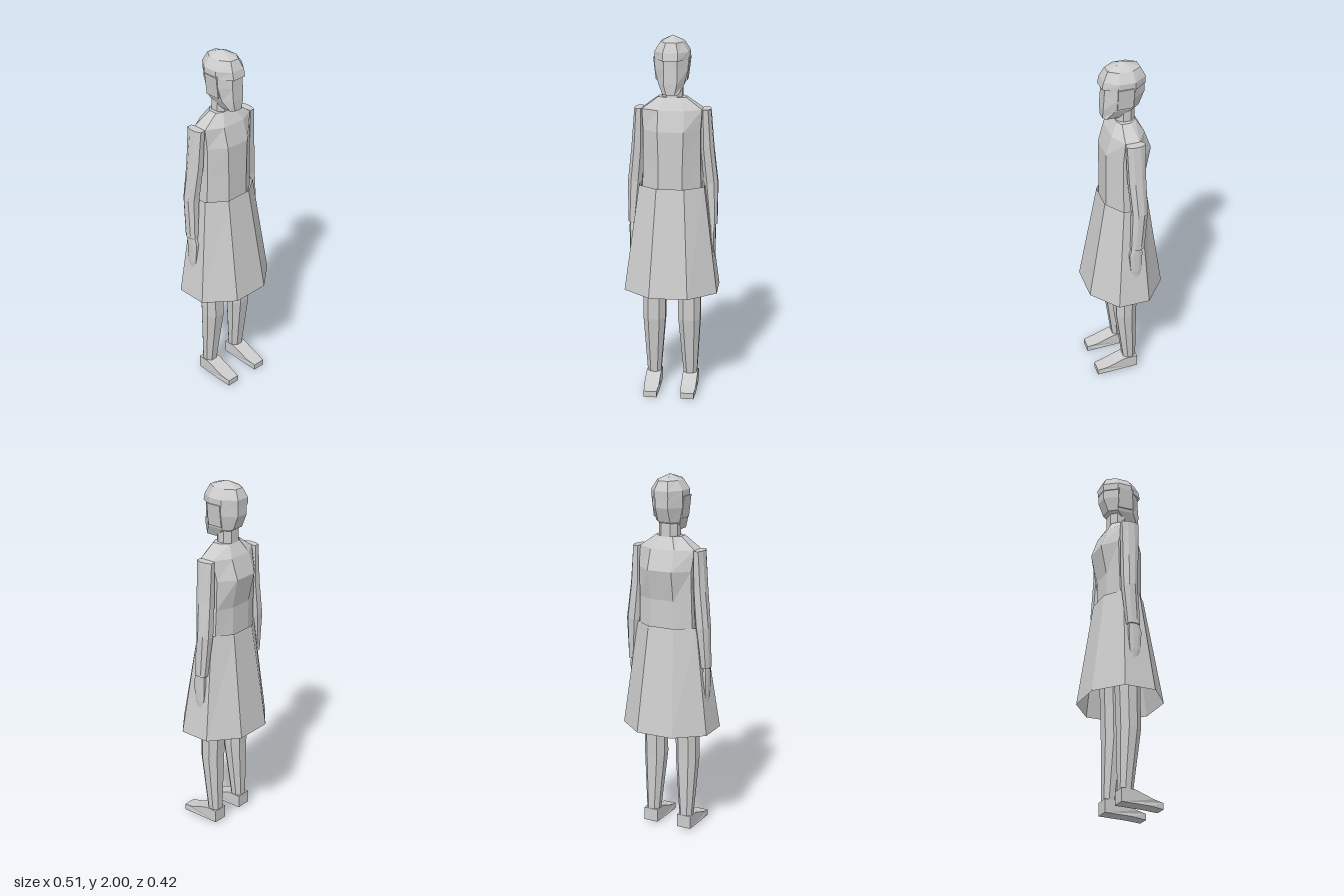
import * as THREE from 'three';

// Eight-sided cross-section at height y: a = half width of the front and back edges,
// b = half width of the sides, then z of front, side front, side back and back.
function ring(y, a, b, zf, zsf, zsb, zb, cx = 0) {
  return [[a, zf], [b, zsf], [b, zsb], [a, zb], [-a, zb], [-b, zsb], [-b, zsf], [-a, zf]]
    .map(([x, z]) => [cx + x, y, z]);
}

// Regular-ish cross-section for limbs, given centre and radii
function limbRing(y, cx, cz, rx, rz) {
  return ring(y, rx * 0.5, rx, cz + rz, cz + rz * 0.4, cz - rz * 0.4, cz - rz, cx);
}

// Skin a stack of rings, listed from bottom to top
function loft(rings, capped = true) {
  const n = rings[0].length;
  const pos = [];
  const tri = (a, b, c) => pos.push(...a, ...b, ...c);
  for (let k = 0; k + 1 < rings.length; k++) {
    const p = rings[k], q = rings[k + 1];
    for (let i = 0; i < n; i++) {
      const j = (i + 1) % n;
      tri(p[i], p[j], q[j]);
      tri(p[i], q[j], q[i]);
    }
  }
  if (capped) {
    const bottom = rings[0], top = rings[rings.length - 1];
    for (let i = 1; i + 1 < n; i++) {
      tri(bottom[0], bottom[i + 1], bottom[i]);
      tri(top[0], top[i], top[i + 1]);
    }
  }
  const g = new THREE.BufferGeometry();
  g.setAttribute('position', new THREE.Float32BufferAttribute(pos, 3));
  g.computeVertexNormals();
  return g;
}

export function createModel() {
  const model = new THREE.Group();
  model.name = 'standingWoman';
  const grey = new THREE.MeshStandardMaterial({ color: 0xcccccc, flatShading: true, side: THREE.DoubleSide });
  grey.name = 'plain grey';
  const add = (name, geometry, parent = model) => {
    const mesh = new THREE.Mesh(geometry, grey);
    mesh.name = name;
    parent.add(mesh);
    return mesh;
  };

  // Torso with sloping shoulders
  add('torso', loft([
    ring(1.16, 0.065, 0.16, 0.098, 0.03, -0.07, -0.113),
    ring(1.335, 0.065, 0.155, 0.098, 0.03, -0.075, -0.113),
    ring(1.5, 0.07, 0.155, 0.098, 0.03, -0.08, -0.148),
    ring(1.61, 0.07, 0.162, 0.068, 0.022, -0.055, -0.11),
    ring(1.675, 0.04, 0.075, 0.03, 0.012, -0.035, -0.07),
  ]));

  // Open flared skirt
  add('skirt', loft([
    ring(0.6, 0.105, 0.256, 0.209, 0.086, -0.088, -0.211),
    ring(1.19, 0.075, 0.178, 0.108, 0.035, -0.06, -0.13),
  ], false));

  // Neck, face and hair
  add('neck', loft([
    limbRing(1.64, 0, -0.022, 0.055, 0.05),
    limbRing(1.78, 0, -0.022, 0.055, 0.05),
  ]));
  add('head', loft([
    ring(1.7, 0.022, 0.042, 0.1, 0.085, 0.02, 0.0),
    ring(1.755, 0.035, 0.07, 0.1, 0.05, -0.045, -0.09),
    ring(1.83, 0.036, 0.088, 0.094, 0.04, -0.05, -0.12),
    ring(1.9, 0.036, 0.09, 0.092, 0.035, -0.05, -0.12),
  ]));
  add('hairCap', loft([
    ring(1.88, 0.04, 0.092, 0.107, 0.03, -0.055, -0.123),
    ring(1.92, 0.04, 0.092, 0.098, 0.03, -0.055, -0.125),
    ring(1.97, 0.027, 0.06, 0.072, 0.022, -0.05, -0.1),
    ring(2.0, 0.001, 0.001, -0.018, -0.019, -0.02, -0.021),
  ]));
  for (const s of [1, -1]) {
    // Hair falling beside the face
    const panel = add(s > 0 ? 'leftSideHair' : 'rightSideHair', new THREE.BoxGeometry(0.008, 0.12, 0.085));
    panel.position.set(s * 0.086, 1.83, -0.005);
    panel.rotation.z = -s * 0.12;
  }

  // Limbs, mirrored through x in the cross-sections
  for (const s of [1, -1]) {
    const side = s > 0 ? 'left' : 'right';

    const arm = new THREE.Group();
    arm.name = side + 'Arm';
    model.add(arm);
    add(side + 'Sleeve', loft([
      limbRing(0.97, s * 0.222, -0.025, 0.024, 0.036),
      limbRing(1.2, s * 0.208, -0.04, 0.039, 0.041),
      limbRing(1.4, s * 0.188, -0.03, 0.036, 0.046),
      limbRing(1.61, s * 0.18, -0.026, 0.026, 0.05),
    ]), arm);
    add(side + 'Hand', loft([
      limbRing(0.77, s * 0.224, -0.02, 0.008, 0.014),
      limbRing(0.82, s * 0.224, -0.018, 0.013, 0.03),
      limbRing(0.93, s * 0.222, -0.016, 0.016, 0.036),
      limbRing(0.98, s * 0.222, -0.024, 0.016, 0.026),
    ]), arm);

    const leg = new THREE.Group();
    leg.name = side + 'LegAndFoot';
    model.add(leg);
    add(side + 'Leg', loft([
      limbRing(0.06, s * 0.103, -0.02, 0.036, 0.035),
      limbRing(0.42, s * 0.098, 0.003, 0.062, 0.058),
      limbRing(0.6, s * 0.098, 0.0, 0.062, 0.06),
      limbRing(1.1, s * 0.085, -0.01, 0.075, 0.075),
    ]), leg);

    // Wedge foot, narrowing slightly at the toe
    const profile = new THREE.Shape([
      [-0.058, 0.012], [0.1, 0.008], [0.18, 0], [0.18, 0.034], [0.125, 0.045], [0.015, 0.085], [-0.058, 0.085],
    ].map(([x, y]) => new THREE.Vector2(x, y)));
    const foot = new THREE.ExtrudeGeometry(profile, { depth: 0.084, bevelEnabled: false });
    foot.translate(0, 0, -0.042).rotateY(-Math.PI / 2);
    const p = foot.attributes.position;
    for (let i = 0; i < p.count; i++) if (p.getZ(i) > 0.15) p.setX(i, p.getX(i) * 0.85);
    foot.computeVertexNormals();
    add(side + 'Foot', foot, leg).position.x = s * 0.104;
  }
  return model;
}
